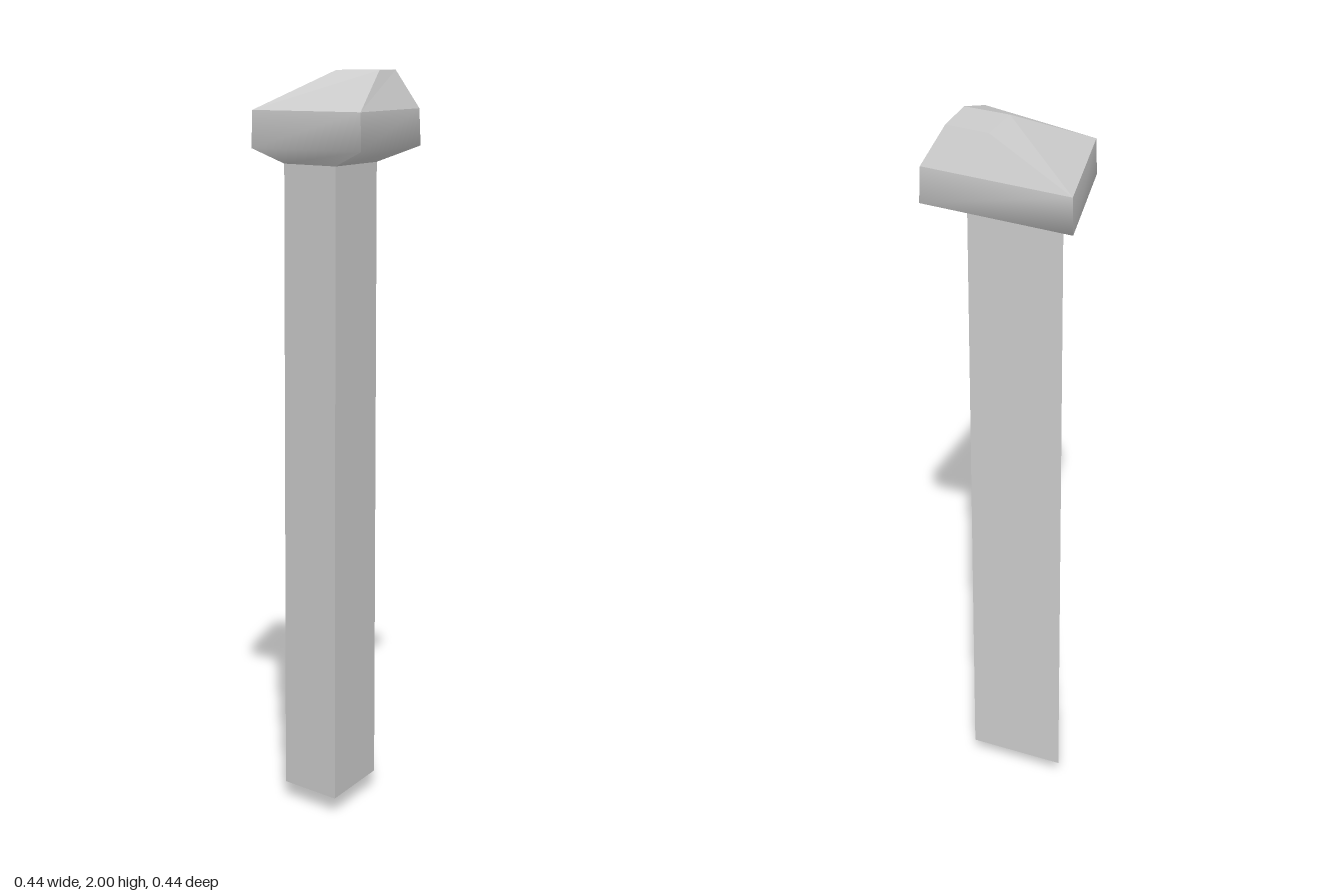
import * as THREE from 'three';

// Four corners [x, z], counter-clockwise seen from above, starting at the back of -x
const shaftPlan = [[-0.15, -0.115], [-0.07, 0.075], [0.115, 0.15], [0.115, -0.115]];
const rimPlan = [[-0.22, -0.22], [-0.137, 0.135], [0.218, 0.218], [0.205, -0.205]];
const crownPlan = [[0.03, -0.162], [0.03, -0.037], [0.157, -0.035], [0.151, -0.157]];

const ring = (plan, y, s = 1) => plan.map(([x, z]) => new THREE.Vector3(x * s, y, z * s));
const point = (x, y, z) => Array.from({ length: 4 }, () => new THREE.Vector3(x, y, z));

// Joins rings from bottom to top; each side has its own vertices so the corners stay sharp.
// With smooth set, shading blends vertically along a side.
function loft(name, rings, smooth = false) {
  const positions = [], index = [];
  for (let side = 0; side < 4; side++) {
    const start = positions.length / 3;
    for (const r of rings) positions.push(...r[side].toArray(), ...r[(side + 1) % 4].toArray());
    for (let k = 0; k < rings.length - 1; k++) {
      const a = start + 2 * k, [b, d, c] = [a + 1, a + 2, a + 3];
      // Leave out the empty triangle where a ring closes to a point
      if (!rings[k][0].equals(rings[k][1])) index.push(a, b, c);
      if (!rings[k + 1][0].equals(rings[k + 1][1])) index.push(a, c, d);
    }
  }
  let geometry = new THREE.BufferGeometry();
  geometry.setAttribute('position', new THREE.Float32BufferAttribute(positions, 3));
  geometry.setIndex(index);
  if (!smooth) geometry = geometry.toNonIndexed();
  geometry.computeVertexNormals();
  const material = new THREE.MeshStandardMaterial({ color: 0xcccccc, flatShading: !smooth });
  const mesh = new THREE.Mesh(geometry, material);
  mesh.name = name;
  return mesh;
}

export function createModel() {
  const post = new THREE.Group();
  post.name = 'post';

  // Skewed four-sided shaft ending in a shallow point
  post.add(loft('shaft', [point(0.013, 0, -0.013), ring(shaftPlan, 0.042), ring(shaftPlan, 1.755)]));

  // Head: flared underside and rim, then a lopsided faceted crown
  const head = new THREE.Group();
  head.name = 'head';
  const rimTop = ring(rimPlan, 1.897, 0.985);
  head.add(loft('rim', [ring(shaftPlan, 1.755), ring(rimPlan, 1.797), rimTop], true));
  head.add(loft('crown', [rimTop, ring(crownPlan, 2), point(0.09, 2, -0.1)]));
  post.add(head);

  return post;
}
